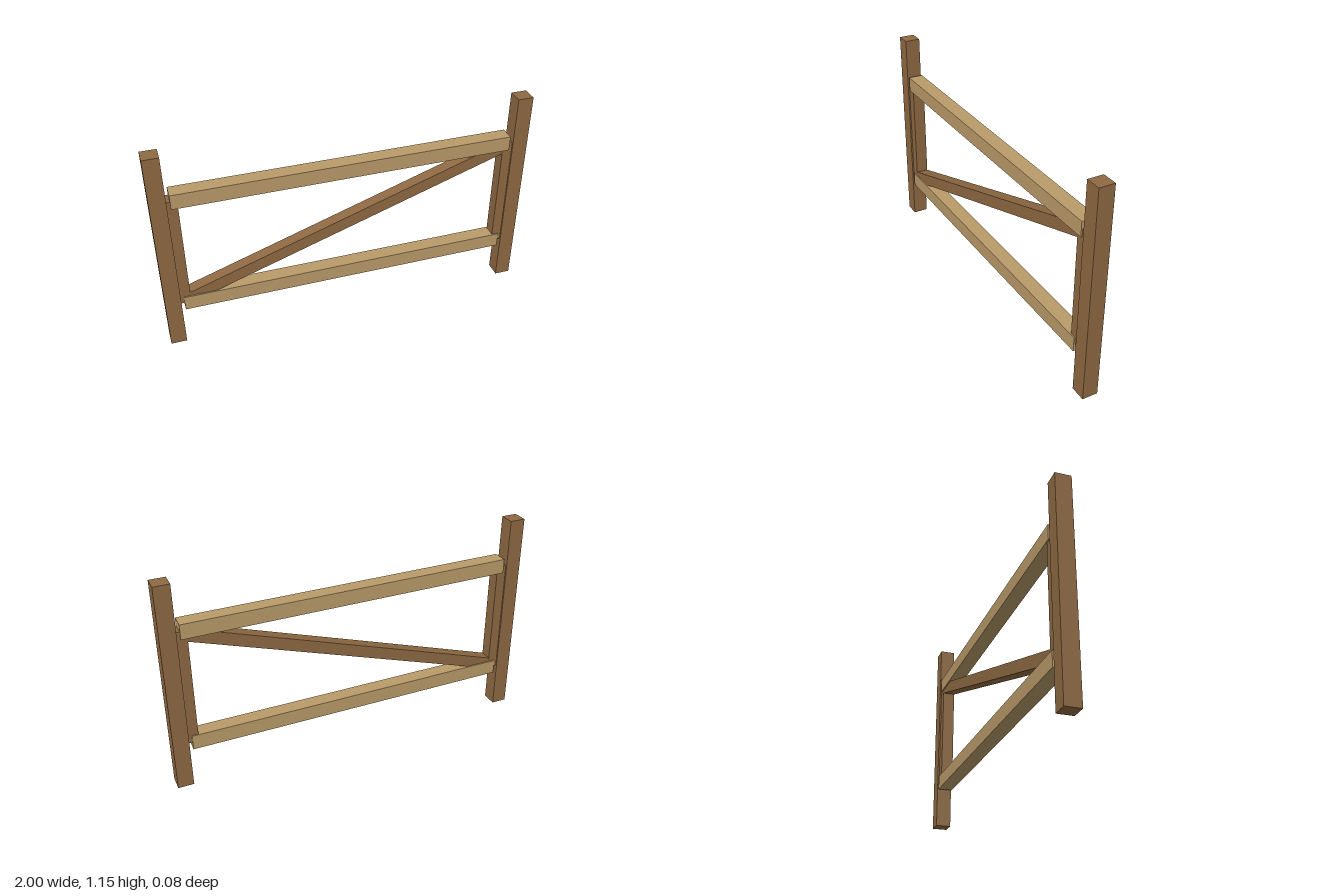
import * as THREE from 'three';

export function createModel() {
  const group = new THREE.Group();
  const darkWood = new THREE.MeshStandardMaterial({ color: 0x8f6a43 });
  darkWood.name = 'dark wood';
  const lightWood = new THREE.MeshStandardMaterial({ color: 0xba9b6a });
  lightWood.name = 'light wood';

  function beam(name, material, size, x, y) {
    const mesh = new THREE.Mesh(new THREE.BoxGeometry(...size), material);
    mesh.name = name;
    mesh.position.set(x, y, 0);
    group.add(mesh);
    return mesh;
  }

  // Posts, with the gate's upright stiles set against them
  for (const [side, s] of [['left', 1], ['right', -1]]) {
    beam(side + 'Post', darkWood, [0.084, 1.155, 0.084], s * 0.958, 0.5775);
    beam(side + 'Stile', darkWood, [0.068, 0.64, 0.068], s * 0.897, 0.578);
  }

  // Horizontal rails
  beam('bottomRail', lightWood, [1.795, 0.081, 0.081], 0, 0.258);
  beam('topRail', lightWood, [1.795, 0.081, 0.081], 0, 0.898);

  // Diagonal brace from low right to high left
  const brace = beam('diagonalBrace', darkWood, [1.86, 0.066, 0.066], 0, 0.578);
  brace.rotation.z = Math.atan(0.34);

  return group;
}
